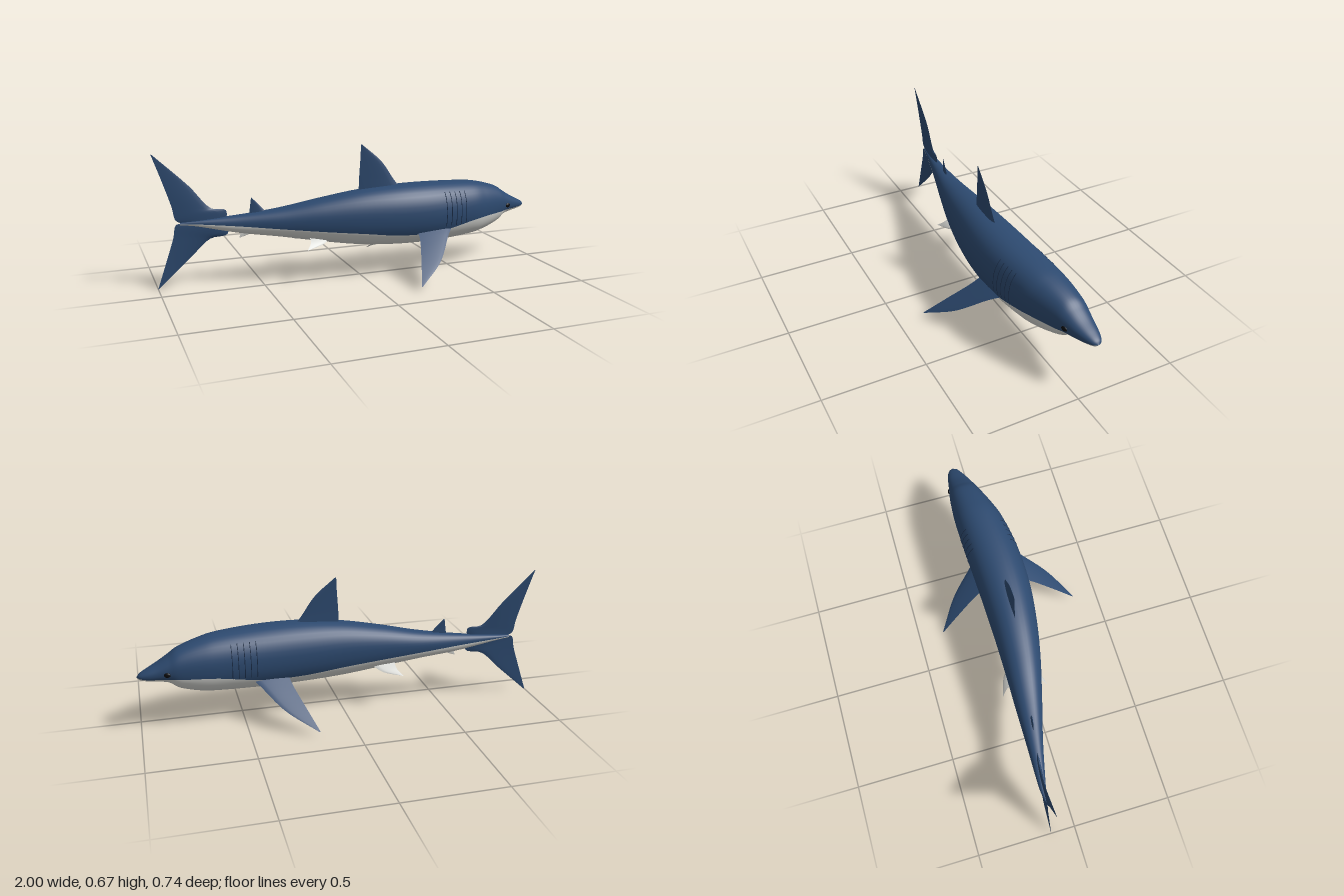
import * as THREE from 'three';

// body stations, nose to tail: x, top y, bottom y, midline z, half width, colour-line y
const STATIONS = [
  [1, 0.277, 0.273, -0.08, 0.003, 0.275],
  [0.985, 0.293, 0.262, -0.08, 0.024, 0.274],
  [0.95, 0.312, 0.254, -0.077, 0.042, 0.27],
  [0.9, 0.337, 0.246, -0.07, 0.058, 0.268],
  [0.85, 0.367, 0.233, -0.064, 0.072, 0.267],
  [0.8, 0.398, 0.198, -0.058, 0.087, 0.265],
  [0.7, 0.428, 0.167, -0.042, 0.11, 0.262],
  [0.6, 0.444, 0.154, -0.027, 0.125, 0.252],
  [0.4, 0.455, 0.144, -0.01, 0.135, 0.215],
  [0.2, 0.455, 0.146, -0.006, 0.131, 0.212],
  [0, 0.44, 0.16, -0.015, 0.116, 0.235],
  [-0.2, 0.408, 0.19, -0.035, 0.095, 0.255],
  [-0.4, 0.37, 0.225, -0.063, 0.069, 0.275],
  [-0.6, 0.345, 0.255, -0.092, 0.041, 0.295],
  [-0.8, 0.329, 0.298, -0.118, 0.018, 0.312],
  [-0.88, 0.322, 0.309, -0.122, 0.006, 0.316],
];
const POWER = 0.9; // slightly squared cross-section
const spline = (k) => new THREE.CatmullRomCurve3(
  STATIONS.map((s) => new THREE.Vector3(s[k], s[k + 1], s[k + 2])), false, 'catmullrom');
const heights = spline(0), widths = spline(3);

function section(t) {
  const h = heights.getPoint(t), w = widths.getPoint(t);
  return { x: h.x, cy: (h.y + h.z) / 2, hy: (h.y - h.z) / 2, cz: w.x, hw: w.y, line: w.z };
}

// section at a given x, by bisection
function sectionAt(x) {
  let lo = 0, hi = 1;
  for (let i = 0; i < 30; i++) {
    const t = (lo + hi) / 2;
    if (section(t).x > x) lo = t; else hi = t;
  }
  return section(lo);
}

const bend = (v, e) => Math.sign(v) * Math.abs(v) ** e;
const surface = (s, a) => new THREE.Vector3(
  s.x, s.cy + s.hy * bend(Math.sin(a), POWER), s.cz + s.hw * bend(Math.cos(a), POWER));

function geometryFrom(points, indexSets) {
  const g = new THREE.BufferGeometry().setFromPoints(points);
  g.setIndex(indexSets.flat());
  let start = 0;
  indexSets.forEach((set, m) => {
    g.addGroup(start, set.length, m);
    start += set.length;
  });
  g.computeVertexNormals();
  return g;
}

// closed body skin; group 0 is the back, group 1 the belly
function bodyGeometry() {
  const rings = 120, half = 24, n = half * 2;
  const points = [], back = [], belly = [];
  for (let i = 0; i <= rings; i++) {
    const s = section(i / rings);
    const level = THREE.MathUtils.clamp((s.line - s.cy) / s.hy, -0.9, 0.9);
    const a0 = Math.asin(bend(level, 1 / POWER));
    for (let j = 0; j < n; j++) {
      const a = j < half
        ? a0 + (Math.PI - 2 * a0) * j / half
        : Math.PI - a0 + (Math.PI + 2 * a0) * (j - half) / half;
      points.push(surface(s, a));
    }
  }
  for (let i = 0; i < rings; i++) {
    for (let j = 0; j < n; j++) {
      const a = i * n + j, b = i * n + (j + 1) % n;
      (j < half ? back : belly).push(a, b, a + n, b, b + n, a + n);
    }
  }
  return geometryFrom(points, [back, belly]);
}

// lens-section fin between a leading and a trailing edge, both listed root to tip
function finGeometry(lead, trail, thickness) {
  const rows = 20, cols = 10;
  const front = new THREE.CatmullRomCurve3(lead), rear = new THREE.CatmullRomCurve3(trail);
  const chord = trail[0].clone().sub(lead[0]);
  const span = trail[trail.length - 1].clone().sub(lead[0].clone().lerp(trail[0], 0.5));
  const normal = chord.cross(span).normalize();
  const points = [], sides = [[], []];
  [1, -1].forEach((sign, k) => {
    const base = points.length;
    for (let i = 0; i <= rows; i++) {
      const s = i / rows, f = front.getPoint(s), r = rear.getPoint(s);
      for (let j = 0; j <= cols; j++) {
        const u = j / cols;
        const lift = sign * thickness * 1.3 * Math.sqrt(u) * (1 - u) * (1 - s);
        points.push(f.clone().lerp(r, u).addScaledVector(normal, lift));
        if (i === rows || j === cols) continue;
        const a = base + i * (cols + 1) + j, b = a + 1, c = a + cols + 1, d = c + 1;
        sides[k].push(...(sign > 0 ? [a, b, c, b, d, c] : [a, c, b, b, c, d]));
      }
    }
  });
  return { geometry: geometryFrom(points, sides), normal };
}

export function createModel() {
  const model = new THREE.Group();
  const material = (name, color) => {
    const m = new THREE.MeshStandardMaterial({ color });
    m.name = name;
    return m;
  };
  const blue = material('back blue', 0x2d4a70);
  const white = material('belly white', 0xd6d7d3);
  const black = material('eye black', 0x0b0c0f);
  const navy = material('gill navy', 0x1c2f4b);

  const add = (name, geometry, mat) => {
    const mesh = new THREE.Mesh(geometry, mat);
    mesh.name = name;
    model.add(mesh);
    return mesh;
  };

  add('body', bodyGeometry(), [blue, white]);

  // fins on the curved midline, given as x, y
  const midFin = (name, lead, trail, thickness, mat) => {
    const place = ([x, y]) => new THREE.Vector3(x, y, sectionAt(x).cz);
    add(name, finGeometry(lead.map(place), trail.map(place), thickness).geometry, [mat, mat]);
  };
  midFin('dorsalFin', [[0.23, 0.43], [0.19, 0.48], [0.12, 0.58], [0.02, 0.668]],
    [[0, 0.42], [0.003, 0.5], [0.01, 0.6], [0.013, 0.668]], 0.022, blue);
  midFin('rearDorsalFin', [[-0.465, 0.35], [-0.49, 0.38], [-0.535, 0.428]],
    [[-0.55, 0.34], [-0.545, 0.37], [-0.537, 0.428]], 0.012, blue);
  midFin('analFin', [[-0.51, 0.275], [-0.54, 0.25], [-0.598, 0.228]],
    [[-0.59, 0.28], [-0.592, 0.255], [-0.6, 0.228]], 0.01, white);
  midFin('upperTailLobe', [[-0.66, 0.31], [-0.66, 0.372], [-0.73, 0.385], [-0.83, 0.5], [-0.997, 0.663]],
    [[-0.87, 0.318], [-0.9, 0.335], [-0.915, 0.4], [-0.955, 0.53], [-1, 0.663]], 0.016, blue);
  midFin('lowerTailLobe', [[-0.66, 0.31], [-0.655, 0.252], [-0.74, 0.232], [-0.84, 0.14], [-0.997, 0]],
    [[-0.87, 0.318], [-0.9, 0.312], [-0.915, 0.25], [-0.955, 0.13], [-1, 0]], 0.016, blue);

  for (const side of [1, -1]) {
    const label = side > 0 ? 'left' : 'right';

    // paired fins, given as x, y and distance from a midline z
    const sideFin = (name, midZ, lead, trail, thickness, upper, lower) => {
      const place = ([x, y, z]) => new THREE.Vector3(x, y, midZ + side * z);
      const { geometry, normal } = finGeometry(lead.map(place), trail.map(place), thickness);
      add(label + name, geometry, normal.y > 0 ? [upper, lower] : [lower, upper]);
    };
    sideFin('PectoralFin', 0,
      [[0.47, 0.225, 0.1], [0.43, 0.196, 0.145], [0.33, 0.106, 0.265], [0.185, 0.025, 0.37]],
      [[0.28, 0.225, 0.1], [0.27, 0.19, 0.15], [0.225, 0.106, 0.265], [0.18, 0.025, 0.37]],
      0.016, blue, white);
    sideFin('PelvicFin', -0.05,
      [[-0.16, 0.212, 0.05], [-0.2, 0.192, 0.085], [-0.295, 0.174, 0.118]],
      [[-0.27, 0.23, 0.045], [-0.27, 0.205, 0.085], [-0.298, 0.174, 0.118]],
      0.01, white, white);

    // eye, set on the head surface
    const head = sectionAt(0.86);
    const eye = add(label + 'Eye', new THREE.SphereGeometry(0.014, 20, 14), black);
    eye.scale.set(1.15, 0.85, 0.5);
    eye.position.copy(surface(head, side > 0 ? -0.08 : Math.PI + 0.08));
    eye.rotation.y = side * 0.3;

    // gill slits
    for (let i = 0; i < 5; i++) {
      const s = sectionAt(0.435 + i * 0.03), path = [];
      for (let k = 0; k <= 8; k++) {
        const a = -0.35 + 1.15 * k / 8;
        path.push(surface(s, side > 0 ? a : Math.PI - a));
      }
      add(label + 'GillSlit' + (i + 1),
        new THREE.TubeGeometry(new THREE.CatmullRomCurve3(path), 24, 0.0018, 6), navy);
    }
  }
  return model;
}
